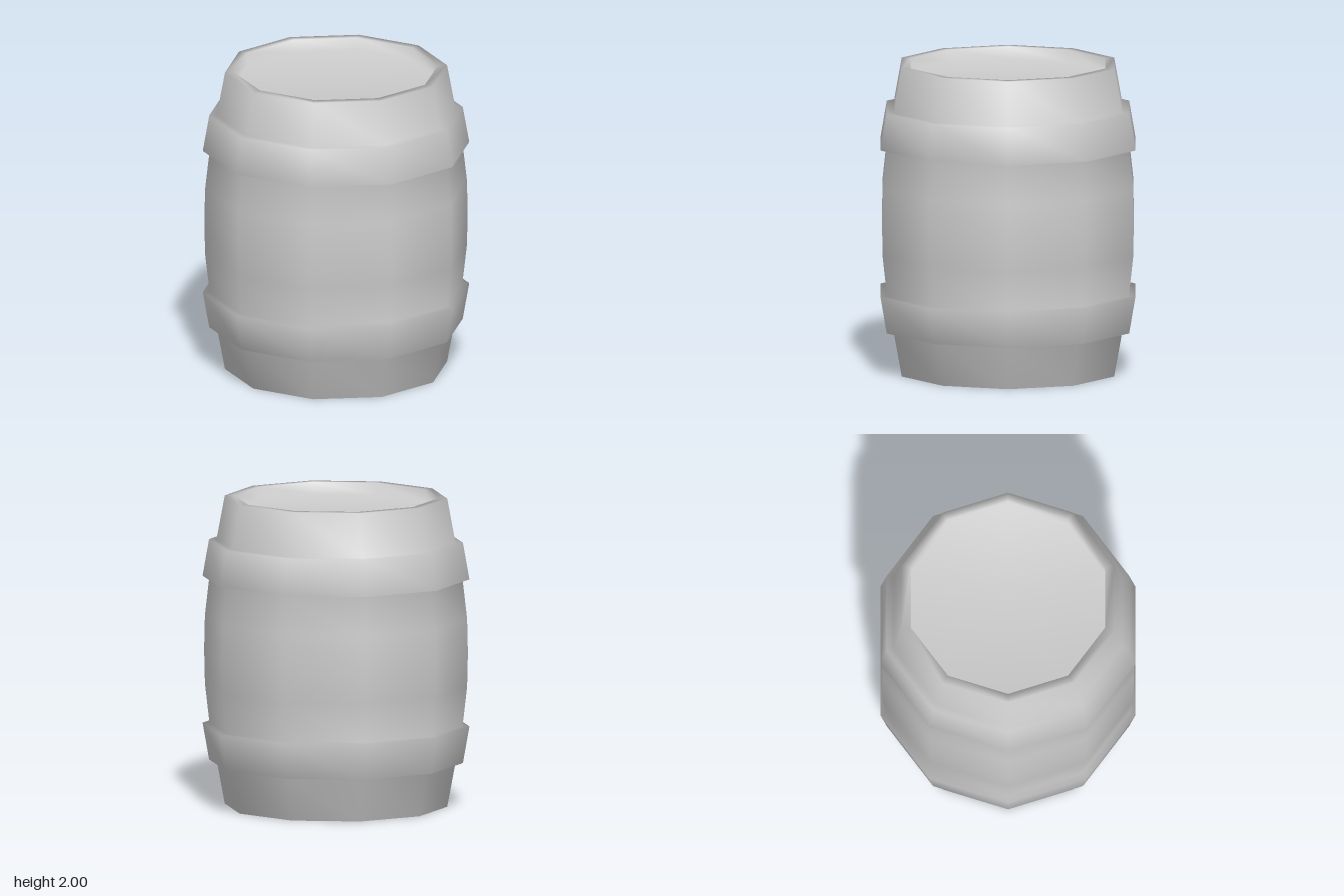
import * as THREE from 'three';
import { mergeVertices } from 'three/addons/utils/BufferGeometryUtils.js';

const SIDES = 10;
const RECESS = 0.08;

export function createModel() {
  const group = new THREE.Group();
  group.name = 'barrel';

  // Lower half of the [radius, y] outline, from the middle of the base upwards
  const lowerHalf = [
    [0, RECESS], [0.655, RECESS], [0.657, 0], // sunken base and inside of the rim
    [0.717, 0], [0.77, 0.285], // rim and tapered end
    [0.818, 0.285], [0.86, 0.523], [0.816, 0.525], // flared hoop
    [0.845, 0.78], // bulge
  ];
  const upperHalf = lowerHalf.map(([r, y]) => [r, 2 - y]).reverse();
  const outline = [...lowerHalf, [0.85, 1], ...upperHalf]
    .map(([r, y]) => new THREE.Vector2(r, y));

  // Ten-sided shell with corners on the x axis, shaded smoothly over every edge
  const lathe = new THREE.LatheGeometry(outline, SIDES, Math.PI / 2);
  lathe.deleteAttribute('normal');
  lathe.deleteAttribute('uv');
  const geometry = mergeVertices(lathe, 1e-4);
  geometry.computeVertexNormals();

  const shell = new THREE.Mesh(geometry, new THREE.MeshStandardMaterial({ color: 0xcccccc }));
  shell.name = 'barrelShell';
  group.add(shell);
  return group;
}
